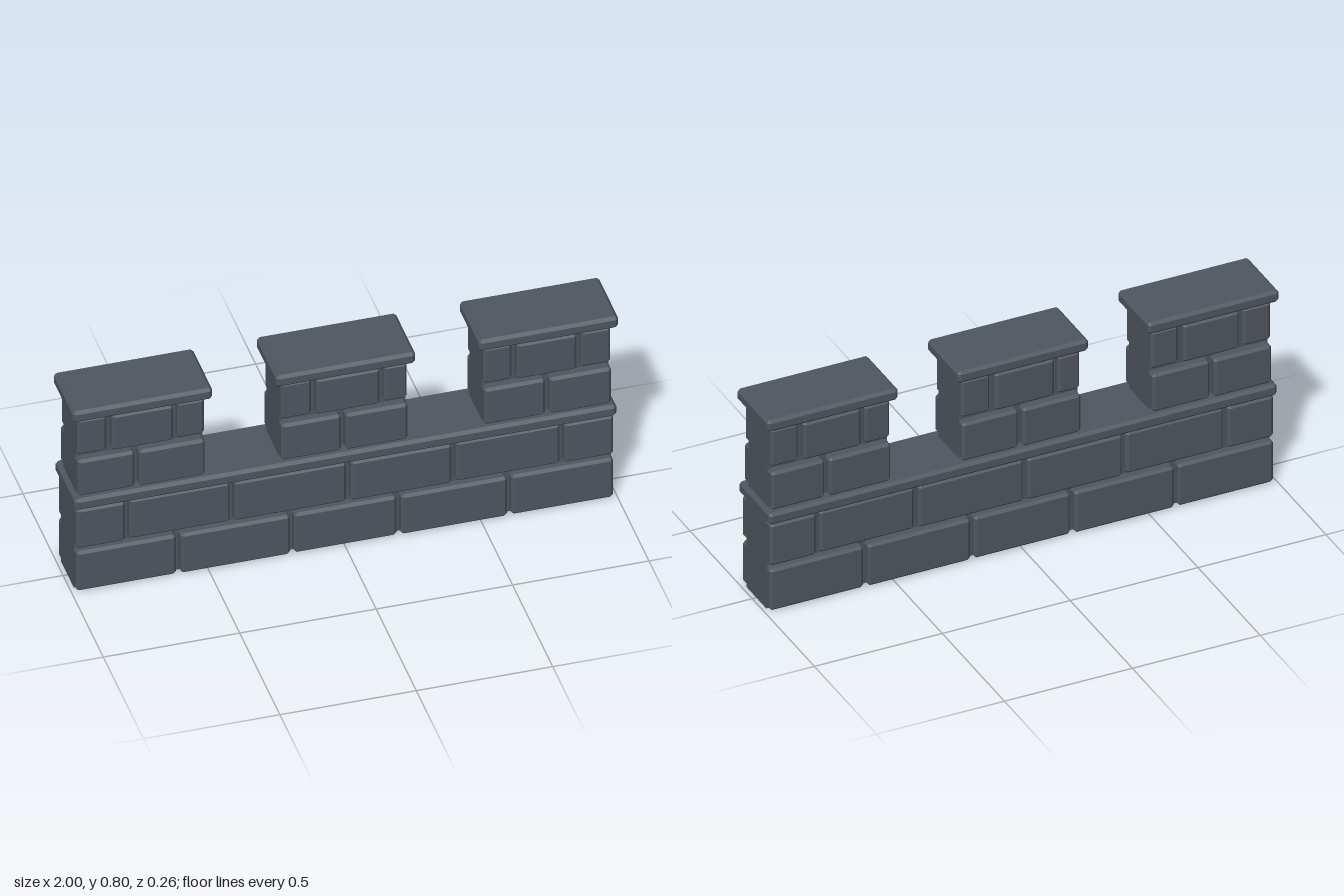
import * as THREE from 'three';
import { ConvexGeometry } from 'three/addons/geometries/ConvexGeometry.js';

const stone = new THREE.MeshStandardMaterial({ color: 0x50565f });
stone.name = 'slate stone';

// Box between two corners with every edge chamfered by c
function chamferedBox(name, x0, x1, y0, y1, z0, z1, c) {
  const half = [(x1 - x0) / 2, (y1 - y0) / 2, (z1 - z0) / 2];
  const points = [];
  for (const sx of [-1, 1]) for (const sy of [-1, 1]) for (const sz of [-1, 1]) {
    for (let full = 0; full < 3; full++) {
      const p = [sx, sy, sz].map((s, i) => s * (half[i] - (i === full ? 0 : c)));
      points.push(new THREE.Vector3(...p));
    }
  }
  const mesh = new THREE.Mesh(new ConvexGeometry(points), stone);
  mesh.name = name;
  mesh.position.set((x0 + x1) / 2, (y0 + y1) / 2, (z0 + z1) / 2);
  return mesh;
}

function core(name, x0, x1, y0, y1) {
  const mesh = new THREE.Mesh(new THREE.BoxGeometry(x1 - x0, y1 - y0, 0.16), stone);
  mesh.name = name;
  mesh.position.set((x0 + x1) / 2, (y0 + y1) / 2, 0);
  return mesh;
}

// One course of bricks, split at the given joints
function course(name, y0, y1, edges, depths) {
  const group = new THREE.Group();
  group.name = name;
  const gap = 0.008;
  for (let i = 0; i < edges.length - 1; i++) {
    const a = edges[i] + (i > 0 ? gap : 0);
    const b = edges[i + 1] - (i < edges.length - 2 ? gap : 0);
    group.add(chamferedBox('brick', a, b, y0, y1, 0.05, depths[i % depths.length], 0.01));
  }
  return group;
}

// All brickwork of one face of the wall
function brickFace(name) {
  const face = new THREE.Group();
  face.name = name;
  face.add(
    course('lowerCourse', 0.005, 0.177, [-0.984, -0.61, -0.193, 0.198, 0.603, 0.984], [0.115, 0.117]),
    course('upperCourse', 0.193, 0.365, [-0.984, -0.797, -0.412, 0.014, 0.4, 0.797, 0.984], [0.118, 0.113, 0.116])
  );
  const merlons = [
    [-0.978, -0.762, -0.861, -0.62, -0.513],
    [-0.232, -0.005, -0.112, 0.137, 0.23],
    [0.511, 0.743, 0.623, 0.859, 0.976],
  ];
  for (const [left, joint, jointA, jointB, right] of merlons) {
    face.add(
      course('merlonLowerCourse', 0.42, 0.577, [left, joint, right], [0.115, 0.118]),
      course('merlonUpperCourse', 0.595, 0.75, [left, jointA, jointB, right], [0.106, 0.115, 0.109])
    );
  }
  return face;
}

export function createModel() {
  const model = new THREE.Group();
  model.name = 'battlementWall';

  // Wall body and its ledge
  model.add(core('wallCore', -0.984, 0.984, 0, 0.39));
  model.add(chamferedBox('ledge', -0.993, 0.993, 0.368, 0.417, -0.128, 0.128, 0.011));

  // Three merlons with cap stones
  for (const x of [-0.744, 0, 0.744]) {
    model.add(core('merlonCore', x - 0.232, x + 0.232, 0.4, 0.78));
    model.add(chamferedBox('merlonCap', x - 0.256, x + 0.256, 0.754, 0.803, -0.128, 0.128, 0.011));
  }

  // Brickwork: the back repeats the front turned half a circle
  const back = brickFace('backBricks');
  back.rotation.y = Math.PI;
  model.add(brickFace('frontBricks'), back);
  return model;
}
